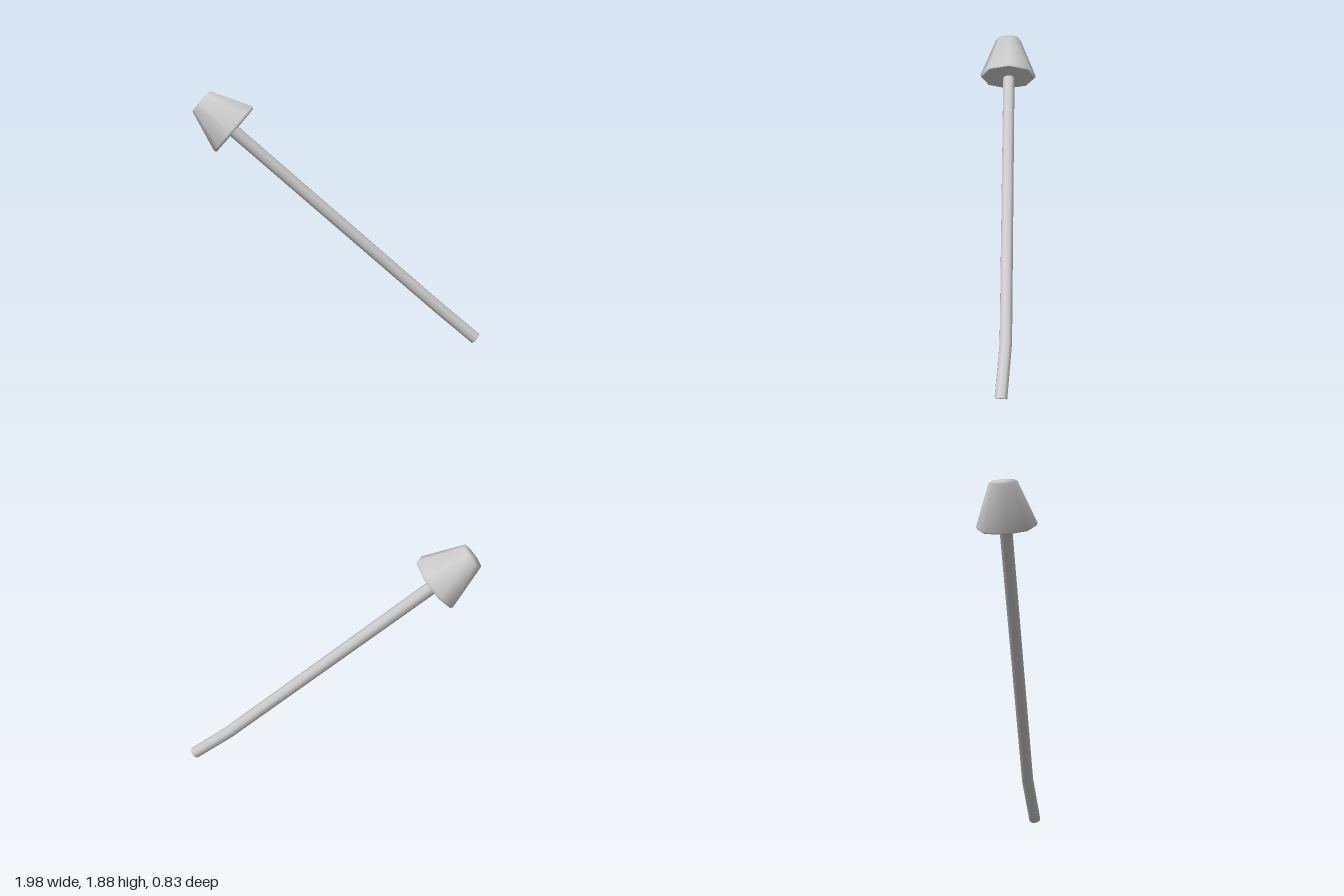
import * as THREE from 'three';

const material = new THREE.MeshStandardMaterial({ color: 0xcccccc, side: THREE.DoubleSide });
const UP = new THREE.Vector3(0, 1, 0);
const v = (x, y, z) => new THREE.Vector3(x, y, z);

function addMesh(parent, name, geometry) {
  const mesh = new THREE.Mesh(geometry, material);
  mesh.name = name;
  parent.add(mesh);
  return mesh;
}

// Eight-sided rod whose three rings follow the given centres, bent at the middle one.
function bentRod(centres, radius) {
  const [base, bend, tip] = centres;
  const lower = bend.clone().sub(base).normalize();
  const upper = tip.clone().sub(bend).normalize();
  const middle = lower.clone().add(upper).normalize();
  const turns = [lower, middle, upper].map(d => new THREE.Quaternion().setFromUnitVectors(UP, d));
  const geometry = new THREE.CylinderGeometry(radius, radius, 2, 8, 2);
  const { position, normal } = geometry.attributes;
  const p = v(0, 0, 0);
  for (let i = 0; i < position.count; i++) {
    const ring = Math.round(position.getY(i)) + 1;
    p.fromBufferAttribute(position, i).setY(0).applyQuaternion(turns[ring]).add(centres[ring]);
    position.setXYZ(i, p.x, p.y, p.z);
    p.fromBufferAttribute(normal, i).applyQuaternion(turns[ring]);
    normal.setXYZ(i, p.x, p.y, p.z);
  }
  return geometry;
}

// Eight-sided turned shape, from [radius, height] pairs.
function turned(profile) {
  const points = profile.map(([r, y]) => new THREE.Vector2(r, y));
  return new THREE.LatheGeometry(points, 8, THREE.MathUtils.degToRad(16), Math.PI * 2);
}

export function createModel() {
  const model = new THREE.Group();
  model.name = 'mushroom';

  // Long leaning stem with a slight bend near its foot
  addMesh(model, 'stem', bentRod([v(0.965, 0.035, -0.372), v(0.685, 0.275, -0.3), v(-0.715, 1.6, 0.215)], 0.046));

  // Cap, tilted along the stem: local y is the axis, local x has no z part
  const cap = new THREE.Group();
  cap.name = 'cap';
  const axis = v(-0.7, 0.66, 0.26).normalize();
  const side = v(axis.y, -axis.x, 0).normalize();
  const front = side.clone().cross(axis);
  cap.quaternion.setFromRotationMatrix(new THREE.Matrix4().makeBasis(side, axis, front));
  cap.position.set(-0.71, 1.61, 0.22);
  addMesh(cap, 'capTop', turned([[0.203, -0.008], [0.21, 0.008], [0.096, 0.3], [0, 0.305]]));
  addMesh(cap, 'capUnderside', turned([[0, -0.008], [0.203, -0.008]]));
  model.add(cap);

  return model;
}
